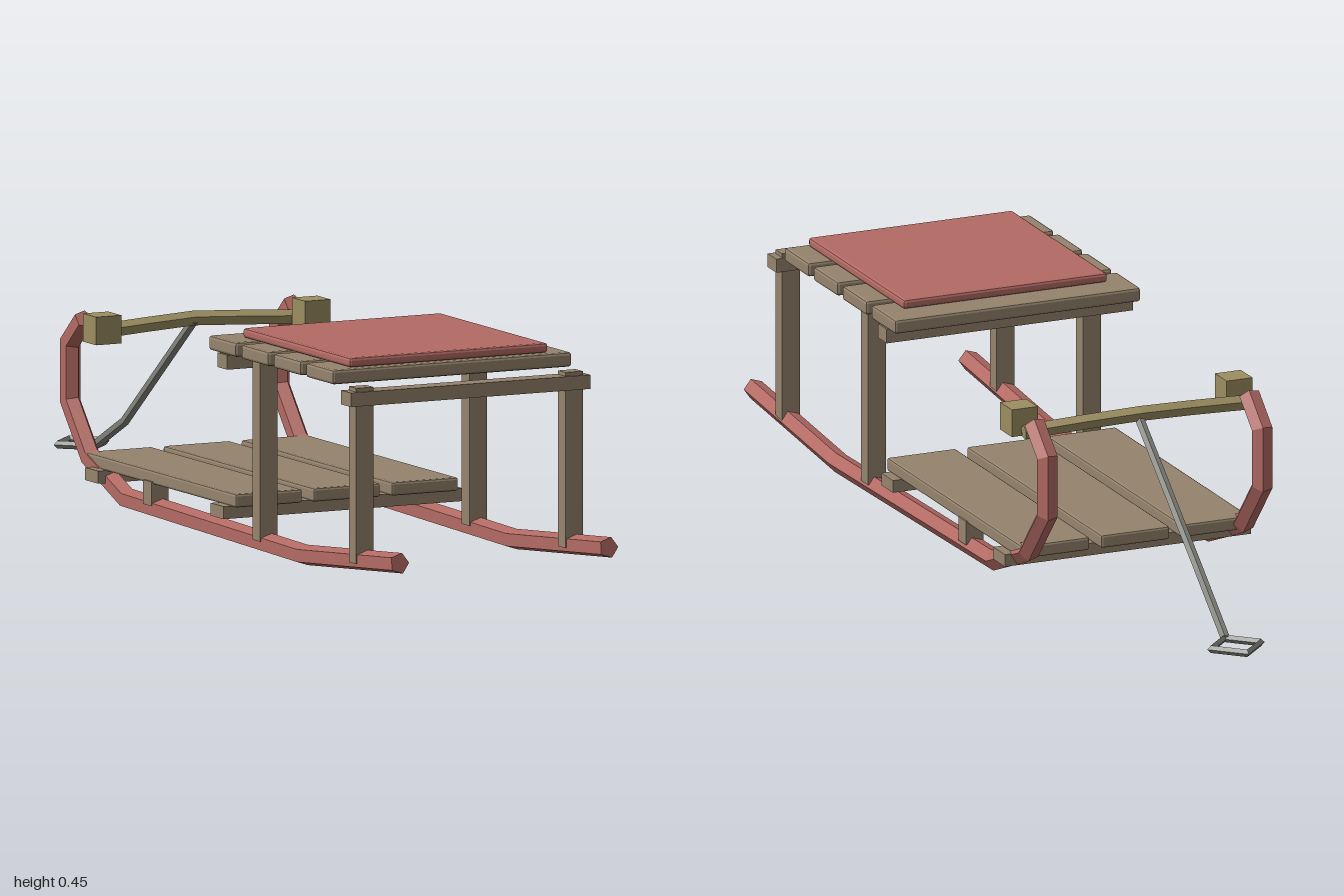
import * as THREE from 'three';
import { RoundedBoxGeometry } from 'three/addons/geometries/RoundedBoxGeometry.js';

const material = (name, color) => {
  const m = new THREE.MeshStandardMaterial({ color });
  m.name = name;
  return m;
};

// Faceted rod along a path; one corner of the cross-section points along `side`.
function sweep(path, radius, sides, side) {
  const pts = path.map((p) => new THREE.Vector3(...p));
  const rings = pts.map((p, i) => {
    const before = p.clone().sub(pts[Math.max(i - 1, 0)]).normalize();
    const after = pts[Math.min(i + 1, pts.length - 1)].clone().sub(p).normalize();
    const t = before.clone().add(after).normalize();
    const inner = i > 0 && i < pts.length - 1;
    const miter = inner ? 1 / before.dot(t) : 1;
    const u = new THREE.Vector3(...side);
    u.addScaledVector(t, -u.dot(t)).normalize();
    const v = t.clone().cross(u);
    return Array.from({ length: sides }, (_, j) => {
      const a = (j / sides) * Math.PI * 2;
      return p.clone()
        .addScaledVector(u, Math.cos(a) * radius)
        .addScaledVector(v, Math.sin(a) * radius * miter);
    });
  });
  const tris = [];
  const last = pts.length - 1;
  for (let j = 0; j < sides; j++) {
    const k = (j + 1) % sides;
    for (let i = 0; i < last; i++) {
      const [a, b, c, d] = [rings[i][j], rings[i][k], rings[i + 1][j], rings[i + 1][k]];
      tris.push(a, b, c, b, d, c);
    }
    tris.push(pts[0], rings[0][k], rings[0][j], pts[last], rings[last][j], rings[last][k]);
  }
  const g = new THREE.BufferGeometry().setFromPoints(tris);
  g.computeVertexNormals();
  return g;
}

export function createModel() {
  const model = new THREE.Group();
  model.name = 'sled';
  const wood = material('wood', 0x95846d);
  const red = material('red', 0xb36a63);
  const olive = material('paleWood', 0x9c8e62);
  const grey = material('rope', 0x85857f);

  const add = (name, geometry, mat) => {
    const mesh = new THREE.Mesh(geometry, mat);
    mesh.name = name;
    model.add(mesh);
    return mesh;
  };
  // Box given by its limits on each axis, with an optional chamfer.
  const box = (name, mat, [x0, x1], [y0, y1], [z0, z1], bevel = 0) => {
    const size = [x1 - x0, y1 - y0, z1 - z0];
    const g = bevel ? new RoundedBoxGeometry(...size, 1, bevel) : new THREE.BoxGeometry(...size);
    if (bevel) g.computeVertexNormals();
    add(name, g, mat).position.set((x0 + x1) / 2, (y0 + y1) / 2, (z0 + z1) / 2);
  };

  const runnerProfile = [
    [1, 0.06], [0.58, 0.022], [-0.2, 0.035], [-0.365, 0.1],
    [-0.455, 0.205], [-0.455, 0.325], [-0.393, 0.38],
  ];
  for (const [label, s] of [['left', 1], ['right', -1]]) {
    const x = 0.24 * s;
    // Curled runner
    add(`${label}Runner`, sweep(runnerProfile.map(([z, y]) => [x, y, z]), 0.022, 5, [1, 0, 0]), red);
    // Uprights for the seat and short posts for the deck
    const legX = [x - 0.02, x + 0.02];
    box(`${label}FrontLeg`, wood, legX, [0.04, 0.402], [0.815, 0.847]);
    box(`${label}SeatLeg`, wood, legX, [0.03, 0.402], [0.387, 0.422]);
    box(`${label}DeckPost`, wood, legX, [0.04, 0.09], [-0.097, -0.06]);
    // Block at the end of the steering bar
    box(`${label}BarBlock`, olive, [x - 0.029, x + 0.029], [0.342, 0.4], [-0.345, -0.287]);
  }

  // Cross rails
  const full = [-0.275, 0.275];
  box('frontRail', wood, full, [0.365, 0.394], [0.809, 0.852]);
  box('seatRail', wood, full, [0.37, 0.4], [0.262, 0.305]);
  for (const z of [0.26, -0.295]) box('deckRail', wood, full, [0.06, 0.086], [z - 0.029, z + 0.029]);

  // Seat slats and cushion
  for (let i = 0; i < 4; i++) {
    const z = 0.711 - i * 0.1433;
    box('seatSlat', wood, full, [0.4, 0.43], [z - 0.06, z + 0.06], 0.006);
  }
  box('cushion', red, [-0.228, 0.228], [0.43, 0.45], [0.282, 0.756], 0.006);

  // Lengthwise deck slats
  for (const x of [-0.179, 0, 0.179]) {
    box('deckSlat', wood, [x - 0.077, x + 0.077], [0.084, 0.112], [-0.362, 0.305], 0.005);
  }

  // Bowed steering bar
  add('steeringBar', sweep([
    [-0.25, 0.355, -0.362], [-0.12, 0.362, -0.37], [0, 0.367, -0.378],
    [0.12, 0.362, -0.37], [0.25, 0.355, -0.362],
  ], 0.016, 5, [0, 1, 0]), olive);

  // Pull rope with a diamond grip
  add('pullRope', sweep([
    [0, 0.365, -0.37], [0, 0.118, -0.675], [0.035, 0.035, -0.885],
  ], 0.01, 5, [1, 0, 0]), grey);
  const ring = new THREE.TorusGeometry(0.056, 0.008, 4, 4).rotateX(Math.PI / 2).toNonIndexed();
  ring.computeVertexNormals();
  add('pullGrip', ring, grey).position.set(0.035, 0.035, -0.937);

  return model;
}
